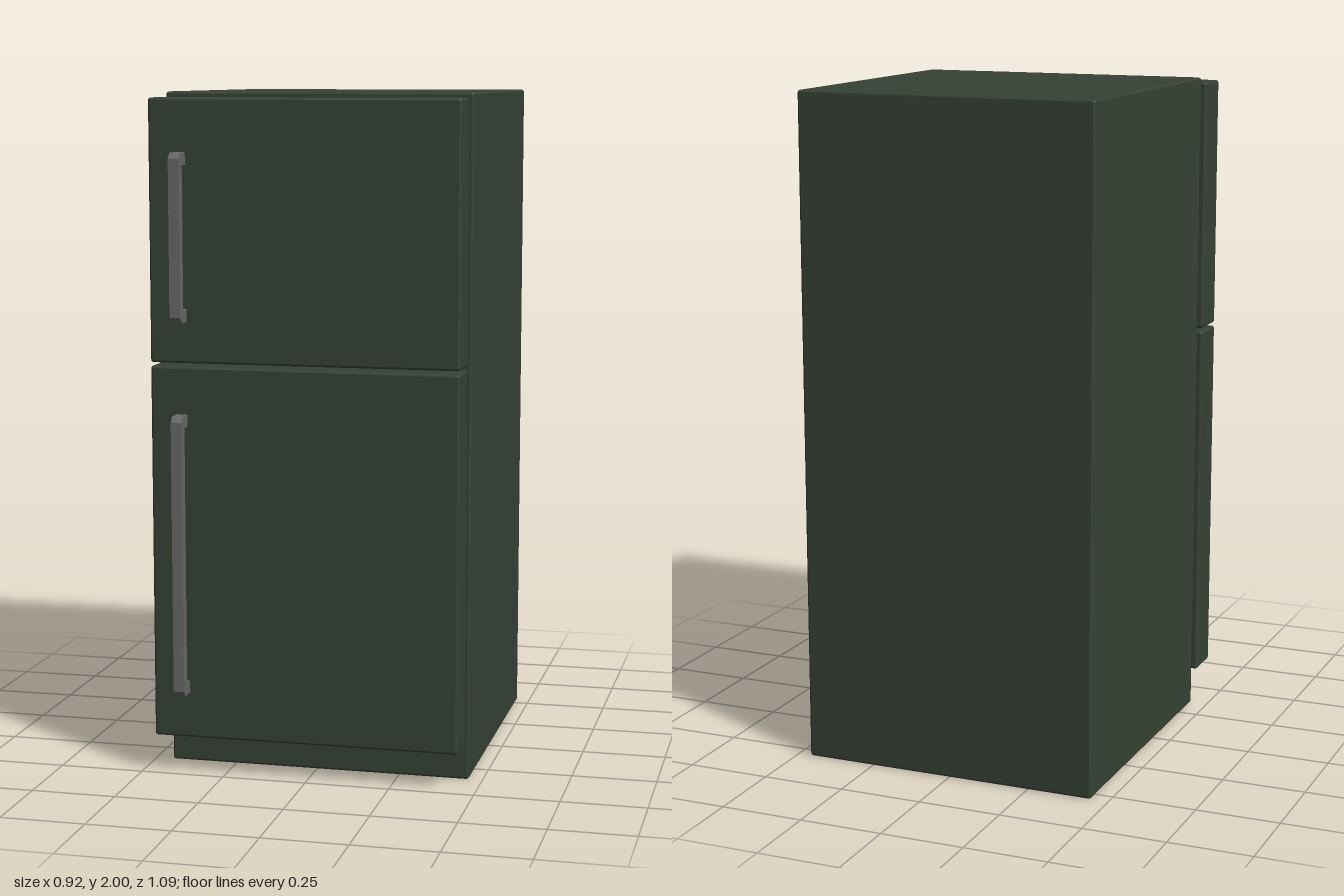
import * as THREE from 'three';
import { RoundedBoxGeometry } from 'three/addons/geometries/RoundedBoxGeometry.js';

export function createModel() {
  const model = new THREE.Group();
  model.name = 'refrigerator';

  const enamel = new THREE.MeshStandardMaterial({ color: 0x364235 });
  enamel.name = 'dark green enamel';
  const metal = new THREE.MeshStandardMaterial({ color: 0x686868 });
  metal.name = 'grey metal';

  // Softly rounded box given by its minimum and maximum corners
  function box(name, min, max, radius) {
    const size = max.map((v, i) => v - min[i]);
    const mesh = new THREE.Mesh(new RoundedBoxGeometry(...size, 2, radius), enamel);
    mesh.position.set(...max.map((v, i) => (v + min[i]) / 2));
    mesh.name = name;
    model.add(mesh);
  }

  // Bracket handle: chamfered side profile extruded across its width
  function handle(name, y0, y1) {
    const back = 0.48, front = 0.545, t = 0.03, c = 0.016, leg = 0.036;
    const points = [
      [back, y0], [front - c, y0], [front, y0 + c], [front, y1 - c],
      [front - c, y1], [back, y1], [back, y1 - leg],
      [front - t, y1 - leg], [front - t, y0 + leg], [back, y0 + leg],
    ].map(([z, y]) => new THREE.Vector2(z, y));
    const geometry = new THREE.ExtrudeGeometry(new THREE.Shape(points), {
      depth: 0.032, bevelEnabled: false,
    });
    geometry.rotateY(-Math.PI / 2); // profile depth now runs along z
    const mesh = new THREE.Mesh(geometry, metal);
    mesh.position.x = -0.352;
    mesh.name = name;
    model.add(mesh);
  }

  // Cabinet
  box('cabinet', [-0.447, 0, -0.545], [0.46, 2, 0.359], 0.008);

  // Doors, each with a recessed seal behind it and a handle
  const doors = [
    { name: 'freezer', y: [1.224, 1.984], grip: [1.345, 1.83] },
    { name: 'fridge', y: [0.11, 1.214], grip: [0.247, 1.075] },
  ];
  for (const { name, y, grip } of doors) {
    box(name + 'Door', [-0.462, y[0], 0.362], [0.448, y[1], 0.485], 0.008);
    box(name + 'Seal', [-0.43, y[0] + 0.02, 0.35], [0.43, y[1] - 0.02, 0.37], 0.002);
    handle(name + 'Handle', ...grip);
  }

  return model;
}
